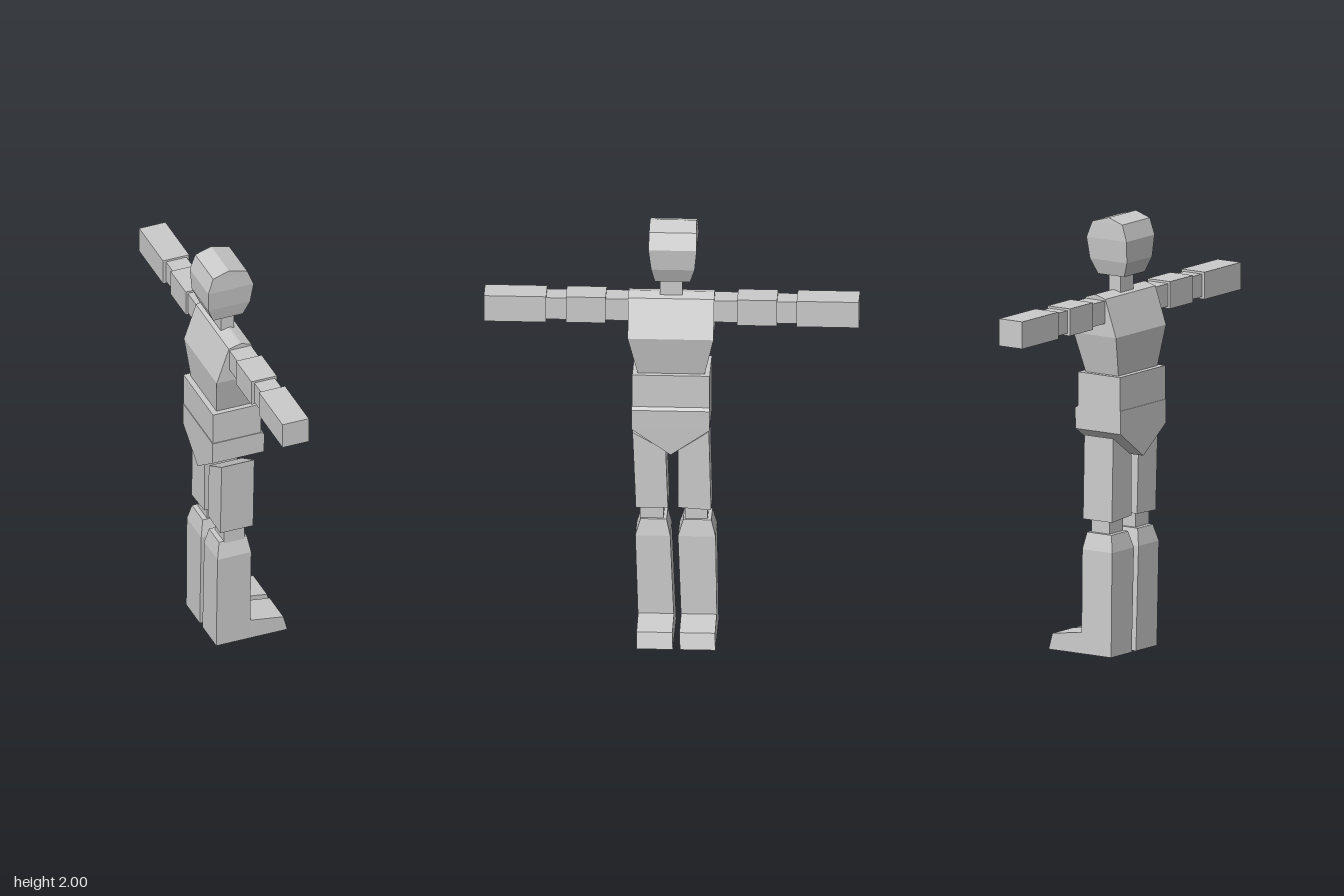
import * as THREE from 'three';

const material = new THREE.MeshStandardMaterial({ color: 0xcccccc, flatShading: true });

// Stacks four-cornered rows from bottom to top into a closed, faceted block.
// Row: [y, x0, x1, z0, z1, yAtZ1 = y]
function block(name, rows) {
  const rings = rows.map(([y, x0, x1, z0, z1, y1 = y]) => [
    [x0, y1, z1], [x1, y1, z1], [x1, y, z0], [x0, y, z0],
  ]);
  const pos = [];
  const quad = (a, b, c, d) => pos.push(...a, ...b, ...c, ...a, ...c, ...d);
  for (let r = 0; r + 1 < rings.length; r++) {
    const lo = rings[r], hi = rings[r + 1];
    for (let i = 0; i < 4; i++) {
      const j = (i + 1) % 4;
      quad(lo[i], lo[j], hi[j], hi[i]);
    }
  }
  quad(...rings[rings.length - 1]);
  quad(...[...rings[0]].reverse());
  const geometry = new THREE.BufferGeometry();
  geometry.setAttribute('position', new THREE.Float32BufferAttribute(pos, 3));
  geometry.computeVertexNormals();
  const mesh = new THREE.Mesh(geometry, material);
  mesh.name = name;
  return mesh;
}

// Straight box between two y, x and z limits
const box = (name, y0, y1, x0, x1, z0, z1) =>
  block(name, [[y0, x0, x1, z0, z1], [y1, x0, x1, z0, z1]]);

function group(name, ...parts) {
  const g = new THREE.Group();
  g.name = name;
  g.add(...parts);
  return g;
}

// Arm stretched out along z; side is +1 or -1
function arm(name, side) {
  const segment = (part, y0, y1, x0, x1, a, b) =>
    box(part, y0, y1, x0, x1, Math.min(a * side, b * side), Math.max(a * side, b * side));
  return group(name,
    segment('shoulder', 1.53, 1.635, -0.115, -0.01, 0.17, 0.297),
    segment('upperArm', 1.52, 1.645, -0.125, 0, 0.297, 0.477),
    segment('elbow', 1.53, 1.635, -0.11, -0.01, 0.477, 0.566),
    segment('forearm', 1.52, 1.645, -0.125, 0.003, 0.566, 0.847));
}

// Leg; each z pair gives the width limits of one level
function leg(name, thighRows, kneeZ, shinZ) {
  const [sole, instep, calf, top] = shinZ;
  return group(name,
    block('thigh', thighRows),
    box('knee', 0.54, 0.64, -0.12, -0.02, ...kneeZ),
    block('shin', [
      [0, -0.16, 0.005, ...sole],
      [0.48, -0.16, 0.005, ...calf],
      [0.557, -0.143, -0.007, ...top],
    ]),
    block('foot', [
      [0, -0.01, 0.187, ...sole],
      [0.075, -0.01, 0.167, ...instep],
      [0.098, -0.01, 0.005, ...instep],
    ]));
}

export function createModel() {
  const model = new THREE.Group();
  model.name = 'blockyFigure';

  // Head and neck; the figure faces +x
  model.add(
    block('head', [
      [1.73, -0.145, 0, -0.085, 0.075],
      [1.8, -0.175, 0.03, -0.106, 0.09],
      [1.9, -0.18, 0.042, -0.116, 0.102],
      [1.975, -0.155, 0.012, -0.113, 0.1],
      [2, -0.08, -0.076, -0.111, 0.1],
    ]),
    box('neck', 1.63, 1.74, -0.098, -0.033, -0.048, 0.053));

  // Torso
  model.add(
    block('chest', [
      [1.28, -0.16, 0.02, -0.15, 0.15],
      [1.47, -0.177, 0.058, -0.193, 0.195],
      [1.642, -0.118, -0.008, -0.193, 0.195],
      [1.657, -0.065, -0.055, -0.193, 0.195],
    ]),
    box('abdomen', 1.12, 1.287, -0.187, 0.047, -0.175, 0.175),
    block('pelvis', [
      [0.9, -0.19, 0.053, 0, 0.002],
      [1.025, -0.19, 0.06, -0.175, 0.178],
      [1.12, -0.19, 0.064, -0.175, 0.178],
      [1.132, -0.19, 0.047, -0.175, 0.178],
    ]));

  // Arms
  model.add(arm('leftArm', -1), arm('rightArm', 1));

  // Legs, standing slightly askew
  model.add(
    leg('leftLeg',
      [[0.615, -0.145, 0.015, -0.18, -0.03, 0.625], [1, -0.145, 0.015, -0.17, -0.03, 0.905]],
      [-0.163, -0.06],
      [[-0.207, -0.047], [-0.205, -0.044], [-0.2, -0.03], [-0.18, -0.053]]),
    leg('rightLeg',
      [[0.625, -0.145, 0.015, 0.015, 0.16, 0.62], [0.905, -0.145, 0.015, 0.025, 0.175, 0.99]],
      [0.037, 0.143],
      [[-0.015, 0.148], [-0.012, 0.15], [0.005, 0.163], [0.022, 0.14]]));

  return model;
}
